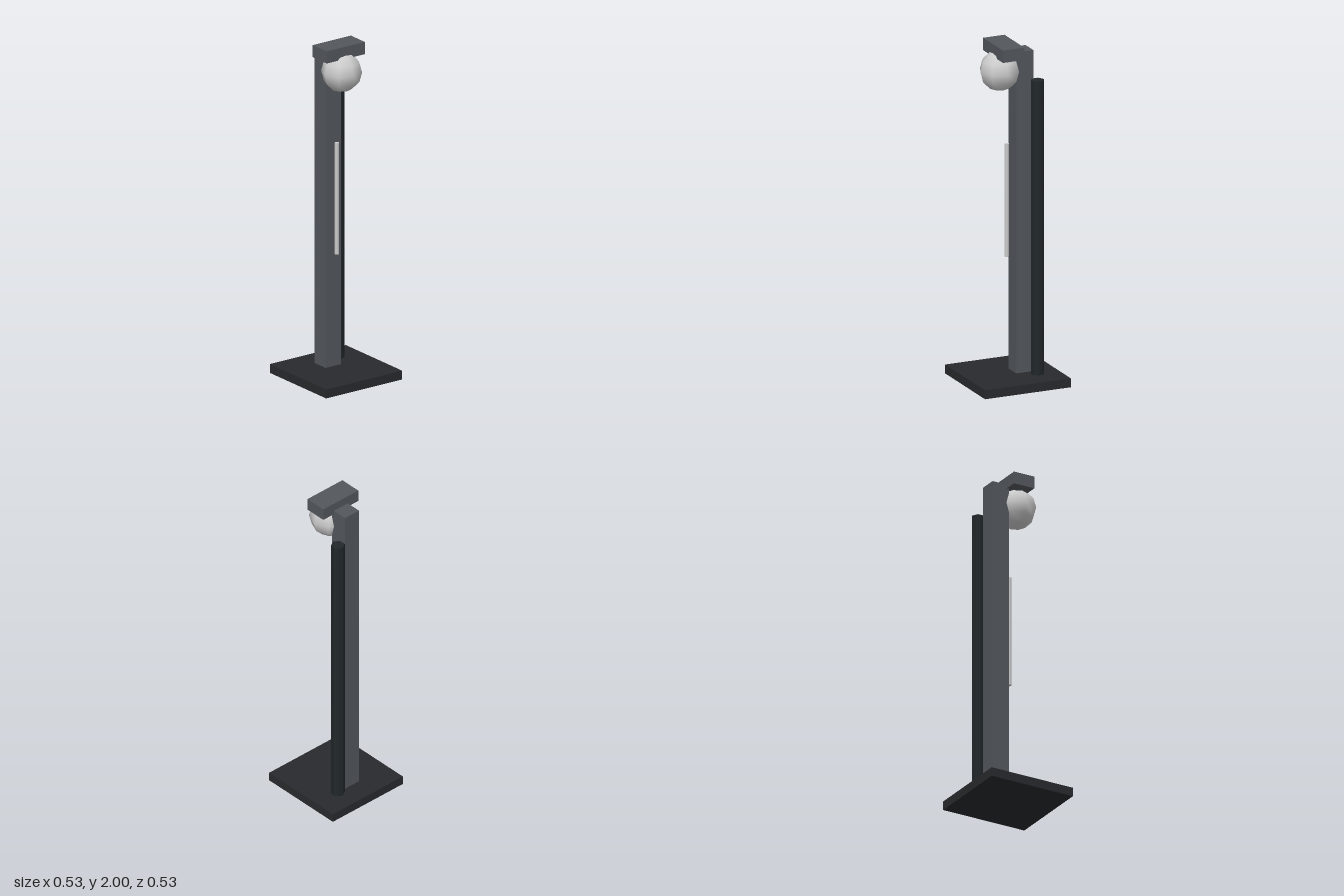
import * as THREE from 'three';

export function createModel() {
  const group = new THREE.Group();
  const mat = (color) => new THREE.MeshStandardMaterial({ color });
  const steel = mat(0x53575c), dark = mat(0x282a2d), black = mat(0x22282b), pale = mat(0xcccccc);

  const add = (name, geometry, material, x, y, z) => {
    const mesh = new THREE.Mesh(geometry, material);
    mesh.name = name;
    mesh.position.set(x, y, z);
    group.add(mesh);
  };

  // Square foot and upright
  add('base', new THREE.BoxGeometry(0.533, 0.053, 0.533), dark, 0, 0.0265, 0);
  add('post', new THREE.BoxGeometry(0.107, 1.897, 0.107), steel, 0, 1.0015, -0.08);

  // Hexagonal pipe standing behind the post, on its left
  add('pipe', new THREE.CylinderGeometry(0.04, 0.04, 1.737, 6), black, 0.107, 0.9215, -0.133);

  // Thin rod in front of the post
  add('rod', new THREE.CylinderGeometry(0.0133, 0.0133, 0.667, 8), pale, 0, 1.068, 0.008);

  // Low-poly globe under a flat cap
  add('globe', new THREE.SphereGeometry(0.117, 8, 6), pale, 0, 1.84, 0.053);
  add('cap', new THREE.BoxGeometry(0.267, 0.073, 0.133), steel, 0, 1.9635, 0.0265);

  return group;
}
